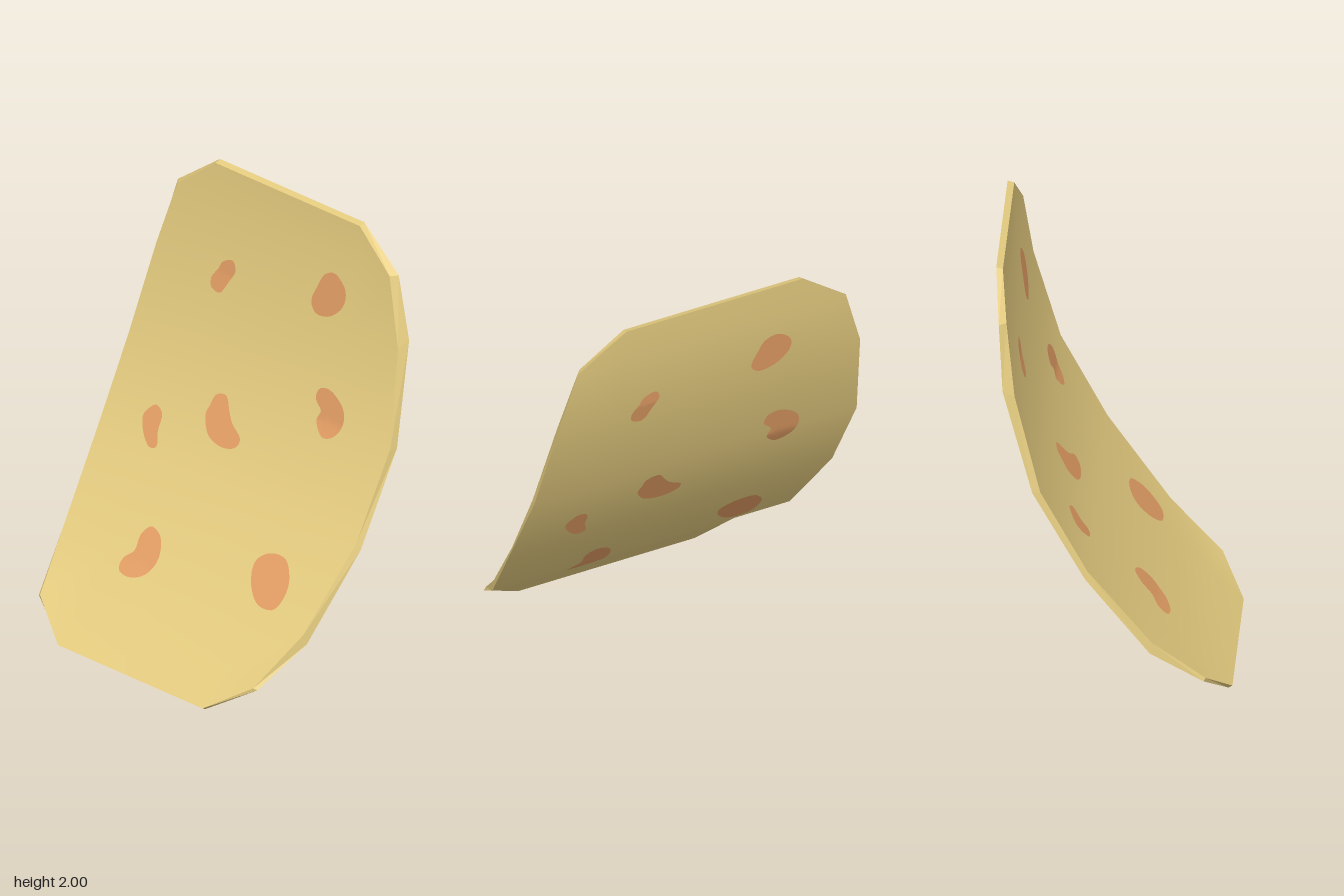
import * as THREE from 'three';
import { mergeVertices } from 'three/addons/utils/BufferGeometryUtils.js';

const INNER = 0.43; // half width of the straight ends
const TURN = 0.8137; // heading of the curved slab about the vertical

// rows from the bottom up: [half width, depth, height] of each skin,
// with the depth and height of the upturned corners where they differ
const ROWS = [
  { front: [0.43, -0.59, 0.01], back: [0.43, -0.572, 0] },
  { front: [0.635, -0.452, 0.138], back: [0.65, -0.45, 0.122], frontRim: [-0.486, 0.143], backRim: [-0.477, 0.134] },
  { front: [0.717, -0.258, 0.345], back: [0.729, -0.248, 0.3] },
  { front: [0.773, 0.02, 0.71], back: [0.79, 0.03, 0.68] },
  { front: [0.78, 0.225, 1.09], back: [0.79, 0.259, 1.09] },
  { front: [0.72, 0.34, 1.52], back: [0.738, 0.391, 1.55] },
  { front: [0.632, 0.393, 1.825], back: [0.657, 0.427, 1.82], frontRim: [0.38, 1.83], backRim: [0.412, 1.83] },
  { front: [0.43, 0.407, 1.992], back: [0.43, 0.436, 2] },
];

// spot outlines as x, height pairs facing the front
const SPOTS = [
  [.07, 1.59, .08, 1.55, .05, 1.49, .01, 1.43, -.02, 1.44, -.02, 1.48, .01, 1.53, .03, 1.57],
  [.49, 1.73, .53, 1.68, .52, 1.6, .46, 1.53, .41, 1.52, .39, 1.56, .42, 1.65, .45, 1.71],
  [.46, 1.23, .51, 1.18, .51, 1.11, .47, 1.05, .42, 1.03, .4, 1.08, .42, 1.13, .4, 1.17, .42, 1.22],
  [.03, 1.03, .04, .98, .05, .94, .08, .9, .06, .86, 0, .84, -.05, .86, -.06, .93, -.04, .97, -.01, 1.02],
  [-.26, .89, -.24, .87, -.26, .8, -.27, .74, -.3, .73, -.32, .77, -.32, .83, -.29, .87],
  [.19, .56, .25, .56, .26, .5, .23, .43, .18, .38, .12, .38, .1, .43, .12, .51],
  [-.3, .48, -.27, .46, -.28, .39, -.34, .32, -.42, .29, -.45, .3, -.43, .34, -.38, .38, -.35, .44],
];

function makeGeometry(points, index) {
  const g = new THREE.BufferGeometry().setFromPoints(points);
  if (index) g.setIndex(index);
  return g;
}

// four points across one row of a skin
function rowPoints(row, side) {
  const [w, s, y] = row[side];
  const [rs, ry] = row[side + 'Rim'] || [s, y];
  return [
    new THREE.Vector3(-w, ry, -rs), new THREE.Vector3(-INNER, y, -s),
    new THREE.Vector3(INNER, y, -s), new THREE.Vector3(w, ry, -rs),
  ];
}

function skinGeometry(side) {
  const pts = ROWS.flatMap((row) => rowPoints(row, side));
  const index = [];
  for (let r = 0; r < ROWS.length - 1; r++) {
    for (let c = 0; c < 3; c++) {
      const a = r * 4 + c, b = a + 1, d = a + 5, e = a + 4;
      if (side === 'front') index.push(a, b, d, a, d, e);
      else index.push(a, d, b, a, e, d);
    }
  }
  const g = mergeVertices(makeGeometry(pts, index));
  g.computeVertexNormals();
  return g;
}

// flat-faced band joining the two skins around the outline
function rimGeometry() {
  const loop = (side) => {
    const rows = ROWS.map((row) => rowPoints(row, side));
    return [...rows.map((p) => p[3]), ...rows.map((p) => p[0]).reverse()];
  };
  const f = loop('front'), b = loop('back'), pts = [];
  f.forEach((p, i) => {
    const j = (i + 1) % f.length;
    pts.push(p, b[i], b[j], p, b[j], f[j]);
  });
  const g = makeGeometry(pts);
  g.computeVertexNormals();
  return g;
}

// row number and fraction at a height on the front skin
function locate(y) {
  let r = 0;
  while (r < ROWS.length - 2 && ROWS[r + 1].front[2] < y) r++;
  const a = ROWS[r].front[2], b = ROWS[r + 1].front[2];
  return { r, t: (y - a) / (b - a) };
}

// point lying just above a skin; the back pattern mirrors the front one
function spotPoint(x, y, side) {
  const { r, t } = locate(y);
  const mix = (p, q) => p + (q - p) * t;
  const fs = mix(ROWS[r].front[1], ROWS[r + 1].front[1]);
  const u = (x - Math.sin(TURN) * fs) / Math.cos(TURN);
  const p = ROWS[r][side], q = ROWS[r + 1][side];
  const ds = q[1] - p[1], dy = q[2] - p[2];
  const facing = side === 'front' ? 1 : -1;
  const lift = facing * 0.004 / Math.hypot(ds, dy);
  return new THREE.Vector3(facing * u, mix(p[2], q[2]) + ds * lift, -mix(p[1], q[1]) + dy * lift);
}

function spotGeometry(outline, side) {
  const corners = [];
  for (let i = 0; i < outline.length; i += 2) corners.push(new THREE.Vector3(outline[i], outline[i + 1], 0));
  const n = 36, rings = 4;
  const edge = new THREE.CatmullRomCurve3(corners, true).getPoints(n).slice(0, n);
  const mid = edge.reduce((m, p) => m.addScaledVector(p, 1 / n), new THREE.Vector3());
  const pts = [], index = [];
  for (let k = 0; k <= rings; k++) {
    for (let i = 0; i < n; i++) {
      const p = mid.clone().lerp(edge[i], k / rings);
      pts.push(spotPoint(p.x, p.y, side));
      if (k === rings) continue;
      // outlines run clockwise seen from outside on both skins
      const a = k * n + i, b = k * n + (i + 1) % n, c = a + n, d = b + n;
      index.push(a, d, c, a, b, d);
    }
  }
  const g = mergeVertices(makeGeometry(pts, index));
  g.computeVertexNormals();
  return g;
}

export function createModel() {
  const golden = new THREE.MeshStandardMaterial({ color: 0xe4cb7f });
  golden.name = 'golden';
  const orange = new THREE.MeshStandardMaterial({ color: 0xe29d64 });
  orange.name = 'toasted orange';

  const model = new THREE.Group();
  model.name = 'curvedChip';
  const slab = new THREE.Group();
  slab.name = 'slab';
  slab.rotation.y = -TURN;
  model.add(slab);

  const add = (name, geometry, material) => {
    const mesh = new THREE.Mesh(geometry, material);
    mesh.name = name;
    slab.add(mesh);
  };
  add('rim', rimGeometry(), golden);
  for (const side of ['front', 'back']) {
    add(side + 'Skin', skinGeometry(side), golden);
    SPOTS.forEach((outline, i) => add(`${side}Spot${i + 1}`, spotGeometry(outline, side), orange));
  }
  return model;
}
